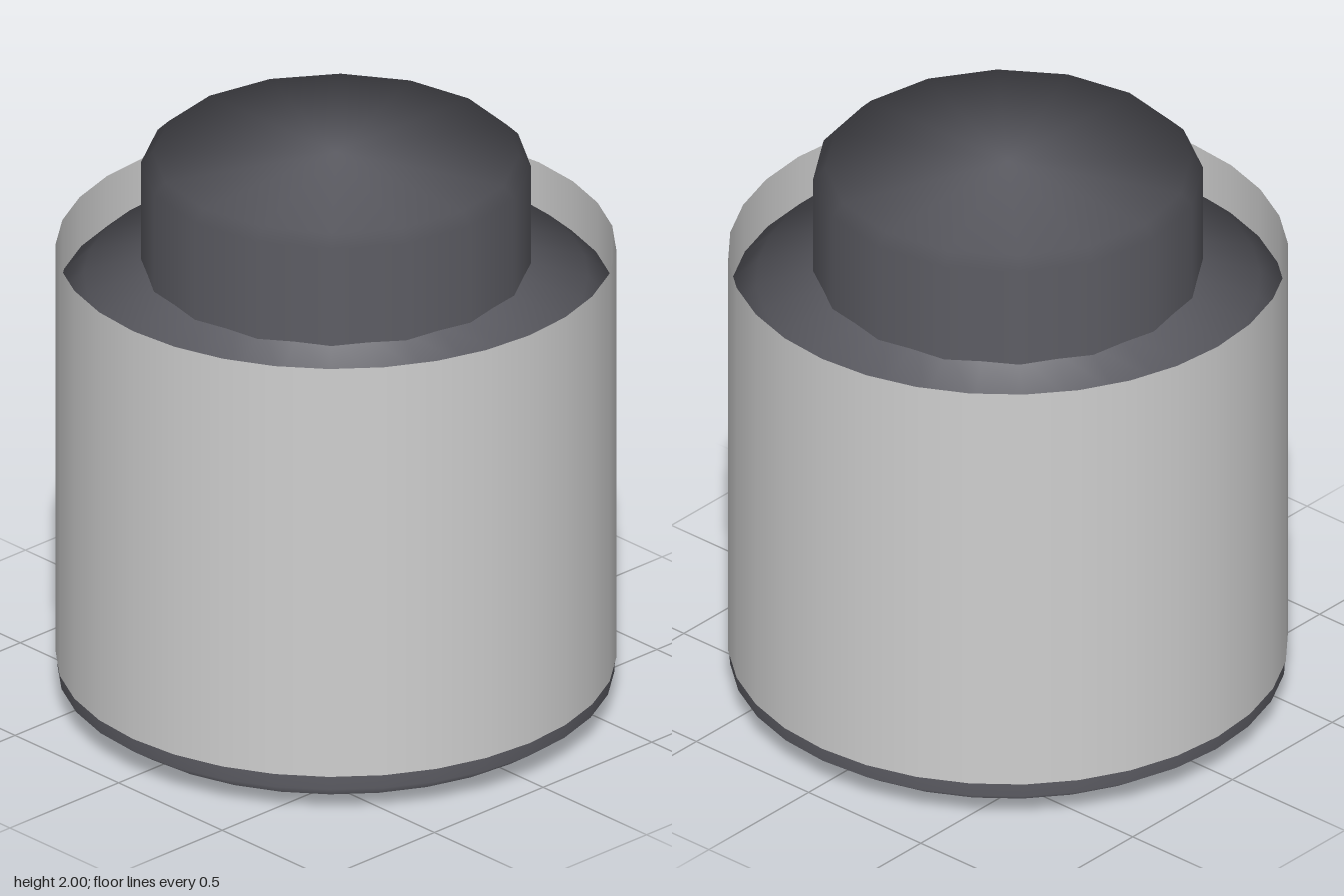
import * as THREE from 'three';

const darkPlastic = new THREE.MeshStandardMaterial({ color: 0x5d5d64 });
const lightMetal = new THREE.MeshStandardMaterial({ color: 0xcfcfcf, side: THREE.DoubleSide });
darkPlastic.name = 'darkPlastic';
lightMetal.name = 'lightMetal';

// Lathe from [radius, y, pitch] rows, listed bottom to top.
// pitch is the elevation of the soft normal in degrees (-90 down, 90 up).
function softLathe(rows, sides) {
  const geometry = new THREE.LatheGeometry(rows.map(([r, y]) => new THREE.Vector2(r, y)), sides);
  const normal = geometry.attributes.normal;
  for (let i = 0; i < normal.count; i++) {
    const pitch = THREE.MathUtils.degToRad(rows[i % rows.length][2]);
    const turn = Math.floor(i / rows.length) / sides * Math.PI * 2;
    normal.setXYZ(i, Math.sin(turn) * Math.cos(pitch), Math.sin(pitch), Math.cos(turn) * Math.cos(pitch));
  }
  return geometry;
}

function addPart(group, name, geometry, material) {
  const mesh = new THREE.Mesh(geometry, material);
  mesh.name = name;
  group.add(mesh);
  return mesh;
}

export function createModel() {
  const group = new THREE.Group();
  group.name = 'canister';

  // Rounded inner body with pillowed ends
  addPart(group, 'body', softLathe([
    [0, 0, -90], [0.6, 0.005, -43], [0.84, 0.03, -23], [0.928, 0.09, -5], [0.93, 0.16, 0],
    [0.928, 1.47, 5], [0.84, 1.55, 23], [0.6, 1.61, 43], [0, 1.63, 90],
  ], 32), darkPlastic);

  // Thin open sleeve around the body
  const sleeve = addPart(group, 'sleeve',
    new THREE.CylinderGeometry(0.934, 0.934, 1.51, 32, 1, true), lightMetal);
  sleeve.position.y = 0.895;

  // Stubby cap with a small bevel
  addPart(group, 'cap', softLathe([
    [0, 1.4, -90], [0.61, 1.4, -8], [0.65, 1.45, 0],
    [0.65, 1.955, 0], [0.61, 1.995, 8], [0, 2, 90],
  ], 16), darkPlastic);

  return group;
}
